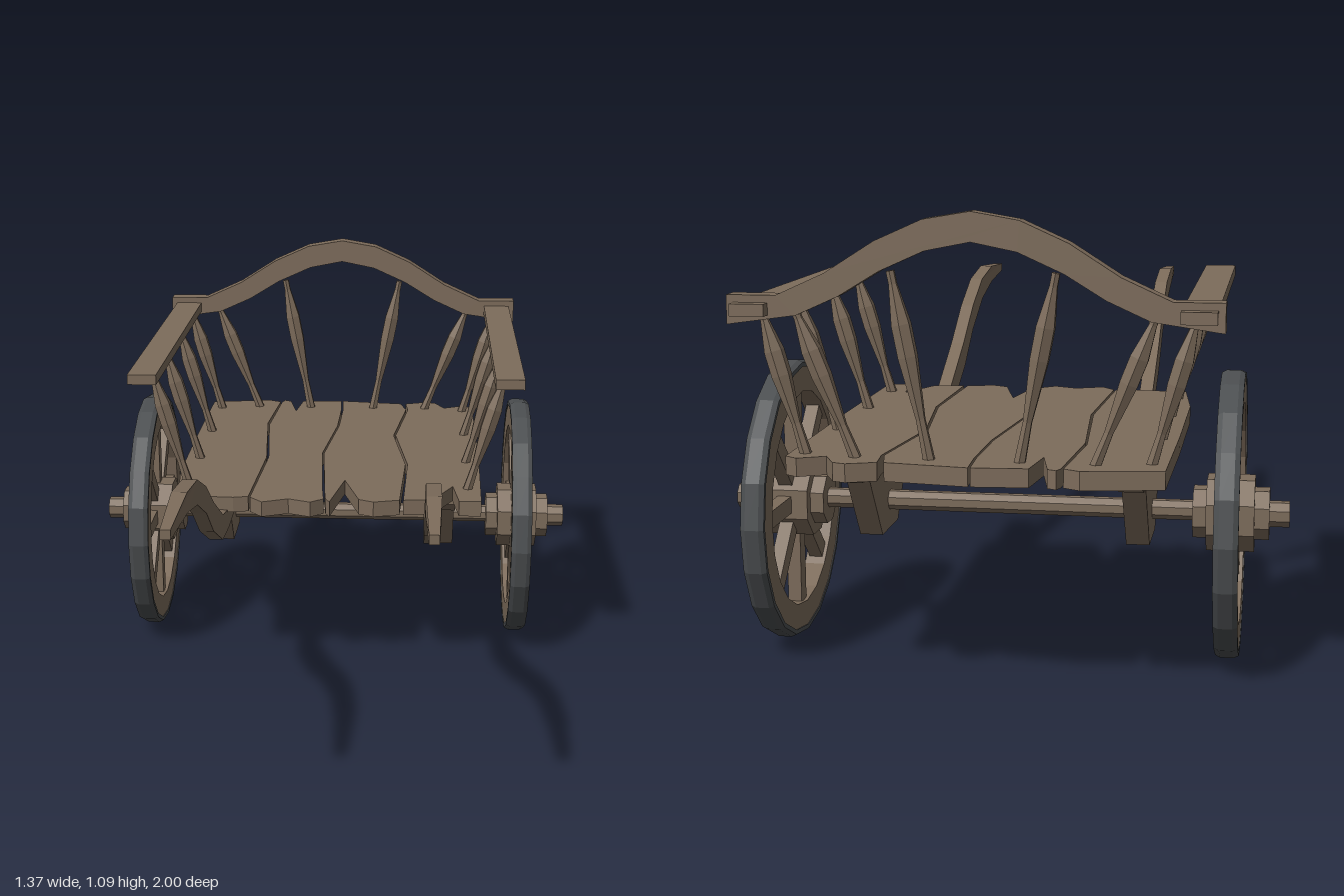
import * as THREE from 'three';

export function createModel() {
  const cart = new THREE.Group();
  cart.name = 'handCart';
  const wood = new THREE.MeshStandardMaterial({ color: 0x7d6c5b });
  wood.name = 'weatheredWood';
  const iron = new THREE.MeshStandardMaterial({ color: 0x4b4e50 });
  iron.name = 'darkIron';

  // Faceted mesh with hard edges
  function add(parent, name, geometry, material = wood) {
    const g = geometry.index ? geometry.toNonIndexed() : geometry;
    g.computeVertexNormals();
    const mesh = new THREE.Mesh(g, material);
    mesh.name = name;
    parent.add(mesh);
    return mesh;
  }
  const extrude = (pts, depth) => new THREE.ExtrudeGeometry(
    new THREE.Shape(pts.map(([x, y]) => new THREE.Vector2(x, y))),
    { depth, bevelEnabled: false }).translate(0, 0, -depth / 2);
  // Outline given as (z, y), thickness along x
  const sideExtrude = (pts, width) => extrude(pts, width).rotateY(-Math.PI / 2);
  const box = (w, h, d, x, y, z) => new THREE.BoxGeometry(w, h, d).translate(x, y, z);
  const vec = (pts) => pts.map(([x, y]) => new THREE.Vector2(x, y));

  // Bed: four worn planks, outlines as (x, z)
  const planks = [
    [[-.42, -.97], [-.24, -1], [-.203, -.98], [-.222, -.72], [-.193, -.35], [-.21, .02],
      [-.25, .03], [-.35, .025], [-.40, .025], [-.425, -.2], [-.425, -.6]],
    [[-.198, -.98], [-.19, -1], [-.17, -.99], [-.145, -.87], [-.13, -.99], [-.005, -1], [0, -.9],
      [-.003, -.7], [-.033, -.4], [-.012, -.05], [-.005, .03], [-.04, .06], [-.1, .035],
      [-.17, .065], [-.205, .025], [-.187, -.35], [-.216, -.7]],
    [[.0, -1], [.19, -.975], [.207, -.9], [.173, -.6], [.212, -.3], [.2, .03], [.13, .05],
      [.09, .03], [.045, -.14], [.012, .055], [0, .03], [-.007, -.05], [-.028, -.4], [.002, -.7], [.005, -.9]],
    [[.205, -.975], [.27, -1], [.3, -.99], [.33, -.93], [.39, -.96], [.42, -.94], [.425, -.4],
      [.42, .03], [.36, .03], [.345, -.1], [.29, .02], [.21, .03], [.218, -.3], [.179, -.6], [.213, -.9]],
  ];
  planks.forEach((pts, i) => add(cart, `bedPlank${i + 1}`,
    extrude(pts.map(([x, z]) => [x, -z]).reverse(), .042).rotateX(-Math.PI / 2).translate(0, .532, 0)));

  // Turned spindle between two points
  const profile = [[0, 0], [.014, 0], [.011, .22], [.023, .55], [.023, .72], [.01, .93], [.01, 1], [0, 1]];
  function spindle(name, from, to) {
    const a = new THREE.Vector3(...from), d = new THREE.Vector3(...to).sub(a);
    const g = new THREE.LatheGeometry(vec(profile.map(([r, t]) => [r, t * d.length()])), 6);
    const m = add(cart, name, g);
    m.position.copy(a);
    m.quaternion.setFromUnitVectors(new THREE.Vector3(0, 1, 0), d.normalize());
  }

  // Arched back rail
  const half = [[.54, .91], [.43, .91], [.32, .96], [.21, 1.03], [.105, 1.077]];
  const under = [[.54, .845], [.385, .867], [.29, .91], [.2, .965], [.1, 1.01]];
  const mirror = (pts) => pts.map(([x, y]) => [-x, y]);
  add(cart, 'backArch', extrude([
    ...mirror(half), [0, 1.095], ...half.slice().reverse(),
    ...under, [0, 1.03], ...mirror(under).reverse(),
  ], .048).translate(0, 0, -.931));

  // Handle shaft outline as (z, y)
  const shaft = [[1, .797], [.78, .81], [.61, .786], [.46, .722], [.31, .63], [.125, .535], [0, .511],
    [-.4, .511], [-.3, .457], [0, .457], [.14, .47], [.33, .56], [.46, .652], [.62, .727], [.78, .762], [1, .775]];

  for (const s of [1, -1]) {
    const side = s > 0 ? 'left' : 'right';

    // Side rail and its spindles
    add(cart, `${side}Rail`, box(.077, .027, 1.03, s * .486, .88, -.47));
    for (const z of [-.085, -.337, -.625, -.9])
      spindle(`${side}RailSpindle`, [s * .385, .55, z], [s * .478, .87, z]);
    spindle(`${side}InnerBackSpindle`, [s * .1, .55, -.925], [s * .18, .965, -.93]);
    spindle(`${side}OuterBackSpindle`, [s * .265, .55, -.925], [s * .395, .88, -.93]);

    // Handle, narrowed at the tip
    const handle = sideExtrude(shaft, .036);
    const p = handle.attributes.position;
    for (let i = 0; i < p.count; i++) if (p.getZ(i) > .9) p.setX(i, p.getX(i) * .65);
    add(cart, `${side}Handle`, handle.translate(s * .284, 0, 0));

    // Beam under the bed and axle bracket
    add(cart, `${side}Beam`, sideExtrude([[-.14, .511], [-.14, .487], [-.2, .45],
      [-.74, .45], [-.82, .485], [-.82, .511]], .058).translate(s * .326, 0, 0));
    add(cart, `${side}AxleBracket`, sideExtrude([[-.26, .47], [-.40, .28], [-.56, .28],
      [-.70, .47]], .056).translate(s * .326, 0, 0));

    // Wheel, built around y and turned onto the axle
    const wheel = new THREE.Group();
    wheel.name = `${side}Wheel`;
    wheel.position.set(s * .543, .348, -.478);
    wheel.rotation.z = -s * Math.PI / 2;
    cart.add(wheel);
    add(wheel, 'rim', new THREE.LatheGeometry(vec([[.268, -.026], [.335, -.026], [.335, .026],
      [.268, .026], [.268, -.026]]), 20));
    add(wheel, 'tyre', new THREE.LatheGeometry(vec([[.33, -.028], [.341, -.028], [.347, -.016],
      [.347, .016], [.341, .028], [.33, .028], [.33, -.028]]), 20), iron);
    for (let i = 0; i < 8; i++)
      add(wheel, 'spoke', box(.21, .034, .042, .18, 0, 0).rotateY(i * Math.PI / 4));
    const drum = (name, r, y0, y1) =>
      add(wheel, name, new THREE.CylinderGeometry(r, r, y1 - y0, 8)
        .rotateY(Math.PI / 8).translate(0, (y0 + y1) / 2, 0));
    drum('hubFlange', .094, -.057, .057);
    drum('hub', .064, -.09, .092);
    drum('axleCap', .032, .09, .14);
  }

  // Axle
  add(cart, 'axle', new THREE.CylinderGeometry(.025, .025, 1.1, 8)
    .rotateY(Math.PI / 8).rotateZ(Math.PI / 2).translate(0, .35, -.478));

  return cart;
}
